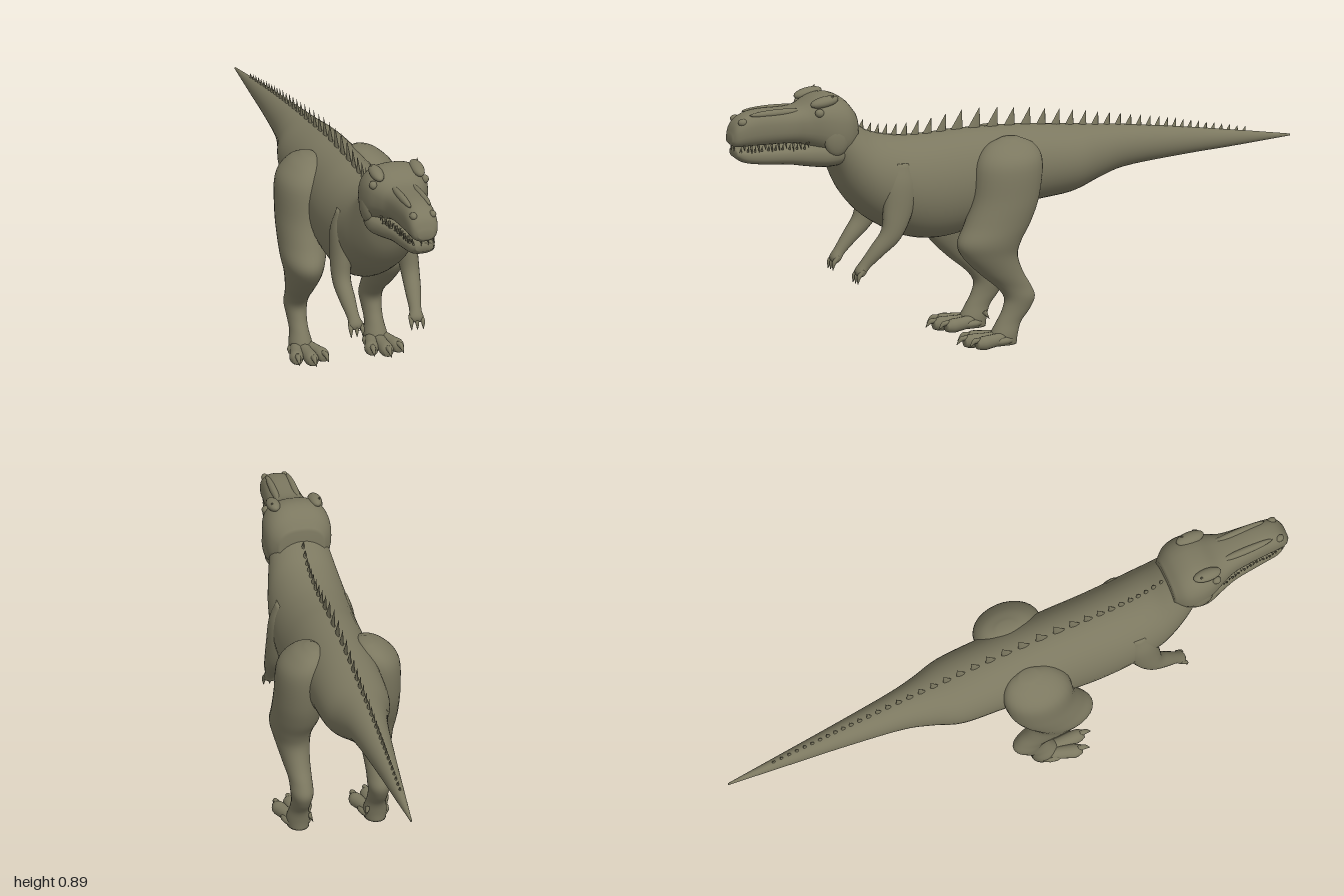
import * as THREE from 'three';

const V = (x, y, z) => new THREE.Vector3(x, y, z);

// Smooth closed skin through sections {c, u, v}; u x v points along the sweep
function loft(sections, { seg = 28, sub = 5, power = 2 } = {}) {
  const curve = (k) => new THREE.CatmullRomCurve3(sections.map((s) => s[k]), false, 'catmullrom', 0.5);
  const C = curve('c'), U = curve('u'), W = curve('v');
  const n = (sections.length - 1) * sub, pos = [], idx = [];
  const round = (a) => Math.sign(a) * Math.abs(a) ** (2 / power);
  for (let i = 0; i <= n; i++) {
    const c = C.getPoint(i / n), u = U.getPoint(i / n), v = W.getPoint(i / n);
    for (let j = 0; j < seg; j++) {
      const a = (j / seg) * Math.PI * 2;
      const p = c.clone().addScaledVector(u, round(Math.cos(a))).addScaledVector(v, round(Math.sin(a)));
      pos.push(p.x, p.y, p.z);
    }
  }
  for (let i = 0; i < n; i++) {
    for (let j = 0; j < seg; j++) {
      const k = (j + 1) % seg, a = i * seg + j, b = i * seg + k;
      idx.push(a, b, a + seg, b, b + seg, a + seg);
    }
  }
  // End caps
  const s0 = sections[0].c, s1 = sections[sections.length - 1].c, base = (n + 1) * seg;
  pos.push(s0.x, s0.y, s0.z, s1.x, s1.y, s1.z);
  for (let j = 0; j < seg; j++) {
    const k = (j + 1) % seg;
    idx.push(base, k, j, base + 1, n * seg + j, n * seg + k);
  }
  const g = new THREE.BufferGeometry();
  g.setAttribute('position', new THREE.Float32BufferAttribute(pos, 3));
  g.setIndex(idx);
  g.computeVertexNormals();
  return g;
}

// Upright sections along z: [z, top, bottom, halfWidth]
const hull = (rows) => rows.map(([z, t, b, w]) => ({ c: V(0, (t + b) / 2, z), u: V(w, 0, 0), v: V(0, (t - b) / 2, 0) }));

// Sections square to a path: [x, y, z, radiusAcross, radiusOther], mirrored by side
function limb(rows, side) {
  const pts = rows.map(([x, y, z]) => V(x * side, y, z));
  return rows.map(([, , , ra, rb], i) => {
    const dir = pts[Math.min(i + 1, pts.length - 1)].clone().sub(pts[Math.max(i - 1, 0)]).normalize();
    const v = dir.clone().cross(V(1, 0, 0)).normalize();
    const u = v.clone().cross(dir);
    return { c: pts[i], u: u.multiplyScalar(ra), v: v.multiplyScalar(rb ?? ra) };
  });
}

export function createModel() {
  const model = new THREE.Group();
  const hide = new THREE.MeshStandardMaterial({ color: 0x7c7860 });
  hide.name = 'olive hide';
  const add = (name, geo, parent = model) => {
    const m = new THREE.Mesh(geo, hide);
    m.name = name;
    parent.add(m);
    return m;
  };
  const blob = (name, p, r, parent, rx = 0) => {
    const m = add(name, new THREE.SphereGeometry(1, 16, 12), parent);
    m.position.set(...p);
    m.scale.set(...r);
    m.rotation.x = rx;
  };
  const cone = (name, from, to, r, parent) => {
    const a = V(...from), d = V(...to).sub(a);
    const m = add(name, new THREE.ConeGeometry(r, d.length(), 8), parent);
    m.position.copy(a).addScaledVector(d, 0.5);
    m.quaternion.setFromUnitVectors(V(0, 1, 0), d.normalize());
  };

  // Tail, trunk and neck in one skin
  const trunk = [
    [-0.995, 0.58, 0.574, 0.003], [-0.8, 0.612, 0.56, 0.021], [-0.6, 0.643, 0.548, 0.04], [-0.4, 0.67, 0.53, 0.063],
    [-0.3, 0.68, 0.5, 0.085], [-0.2, 0.69, 0.465, 0.114], [-0.05, 0.705, 0.445, 0.122], [0.08, 0.71, 0.4, 0.128],
    [0.2, 0.712, 0.365, 0.134], [0.3, 0.708, 0.358, 0.136], [0.4, 0.712, 0.38, 0.136], [0.5, 0.735, 0.435, 0.13],
    [0.56, 0.775, 0.485, 0.118], [0.61, 0.825, 0.55, 0.103], [0.64, 0.845, 0.62, 0.09], [0.66, 0.83, 0.67, 0.07],
  ];
  add('body', loft(hull(trunk), { seg: 40 }));

  // Head
  const head = new THREE.Group();
  head.name = 'head';
  model.add(head);
  add('upperJaw', loft(hull([
    [0.57, 0.82, 0.69, 0.075], [0.605, 0.86, 0.67, 0.104], [0.65, 0.88, 0.66, 0.113], [0.7, 0.875, 0.695, 0.105],
    [0.75, 0.852, 0.718, 0.083], [0.8, 0.845, 0.726, 0.065], [0.9, 0.846, 0.728, 0.055], [0.955, 0.833, 0.728, 0.051],
    [0.985, 0.808, 0.73, 0.043], [1.0, 0.77, 0.742, 0.025],
  ]), { seg: 36, power: 2.5 }), head);
  add('lowerJaw', loft(hull([
    [0.57, 0.73, 0.67, 0.06], [0.62, 0.74, 0.643, 0.092], [0.68, 0.735, 0.638, 0.1], [0.74, 0.728, 0.645, 0.08],
    [0.8, 0.724, 0.655, 0.062], [0.9, 0.724, 0.664, 0.05], [0.955, 0.724, 0.675, 0.044], [0.985, 0.722, 0.695, 0.03],
  ]), { seg: 32, power: 2.4 }), head);

  for (const side of [1, -1]) {
    // Brow, hornlet, eye and nostril rim
    blob('brow', [0.07 * side, 0.866, 0.69], [0.022, 0.018, 0.05], head, 0.15);
    cone('browHorn', [0.074 * side, 0.866, 0.675], [0.081 * side, 0.89, 0.66], 0.013, head);
    blob('eye', [0.089 * side, 0.835, 0.715], [0.013, 0.014, 0.015], head);
    blob('cheek', [0.092 * side, 0.745, 0.655], [0.022, 0.06, 0.045], head);
    blob('snoutRidge', [0.034 * side, 0.836, 0.84], [0.012, 0.012, 0.1], head);
    blob('nostrilRim', [0.033 * side, 0.815, 0.965], [0.012, 0.012, 0.016], head);
    // Teeth along the mouth
    for (let i = 0; i < 10; i++) {
      const z = 0.75 + i * 0.0235, x = side * (0.073 - 0.026 * Math.min(1, i / 5) ** 0.7 - (i > 7 ? (i - 7) * 0.005 : 0));
      const len = 0.018 + 0.007 * (i % 3);
      cone('upperTooth', [x, 0.736, z], [x * 1.02, 0.736 - len, z - 0.003], 0.005, head);
      cone('lowerTooth', [x * 0.95, 0.715, z + 0.011], [x, 0.737, z + 0.009], 0.004, head);
    }
    cone('frontTooth', [0.012 * side, 0.745, 0.985], [0.012 * side, 0.71, 0.987], 0.005, head);

    // Hind leg, from hip to sole: [y, x, z, halfWidth, halfDepth]
    const leg = new THREE.Group();
    leg.name = side > 0 ? 'leftLeg' : 'rightLeg';
    model.add(leg);
    const rows = [
      [0.69, 0.09, 0.04, 0.02, 0.03], [0.665, 0.105, 0.045, 0.055, 0.085], [0.61, 0.12, 0.055, 0.082, 0.115],
      [0.5, 0.128, 0.07, 0.081, 0.115], [0.42, 0.132, 0.1, 0.078, 0.115], [0.36, 0.14, 0.133, 0.069, 0.112],
      [0.31, 0.139, 0.13, 0.058, 0.095], [0.25, 0.135, 0.09, 0.046, 0.075], [0.2, 0.13, 0.045, 0.038, 0.06],
      [0.16, 0.129, 0.022, 0.037, 0.053], [0.12, 0.129, 0.034, 0.032, 0.048], [0.08, 0.129, 0.06, 0.031, 0.043],
      [0.04, 0.129, 0.077, 0.038, 0.047], [0.008, 0.129, 0.08, 0.036, 0.046],
    ];
    add('legSkin', loft(rows.map(([y, x, z, a, b]) => ({ c: V(x * side, y, z), u: V(a, 0, 0), v: V(0, 0, b) }))), leg);
    blob('footPad', [0.129 * side, 0.024, 0.105], [0.052, 0.022, 0.062], leg);
    // Three toes with claws
    for (const t of [-1, 0, 1]) {
      const x = 0.129 + t * 0.044, z = t ? 0.185 : 0.21;
      add('toe', loft(limb([
        [0.129 + t * 0.02, 0.03, 0.09, 0.02], [0.129 + t * 0.035, 0.027, 0.14, 0.022, 0.022],
        [x, 0.026, z - 0.015, 0.023, 0.023], [x + t * 0.002, 0.024, z + 0.008, 0.015],
      ], side), { seg: 16 }), leg);
      add('toeClaw', loft(limb([
        [x, 0.036, z - 0.005, 0.01], [x + t * 0.004, 0.036, z + 0.018, 0.008], [x + t * 0.006, 0.018, z + 0.035, 0.001],
      ], side), { seg: 10 }), leg);
    }
    cone('dewClaw', [0.1 * side, 0.06, 0.05], [0.088 * side, 0.035, 0.035], 0.01, leg);

    // Arm with a three-clawed hand
    const arm = new THREE.Group();
    arm.name = side > 0 ? 'leftArm' : 'rightArm';
    model.add(arm);
    add('armSkin', loft(limb([
      [0.095, 0.64, 0.43, 0.025, 0.03], [0.106, 0.57, 0.435, 0.036, 0.055], [0.114, 0.48, 0.45, 0.034, 0.05],
      [0.118, 0.41, 0.475, 0.03, 0.036], [0.113, 0.36, 0.52, 0.026, 0.026], [0.107, 0.315, 0.56, 0.02, 0.019],
      [0.104, 0.29, 0.578, 0.024, 0.018], [0.103, 0.277, 0.584, 0.015, 0.01],
    ], side), { seg: 20 }), arm);
    for (const f of [-1, 0, 1]) {
      const x = 0.104 + f * 0.017;
      add('finger', loft(limb([
        [x, 0.298, 0.572, 0.008], [x + f * 0.003, 0.278, 0.59, 0.007], [x + f * 0.003, 0.254, 0.594, 0.001],
      ], side), { seg: 10 }), arm);
    }
  }

  // Row of thin spines leaning back, tallest over the hips
  const topAt = (z) => {
    const i = trunk.findIndex((r) => r[0] > z), a = trunk[i - 1], b = trunk[i];
    return a[1] + ((b[1] - a[1]) * (z - a[0])) / (b[0] - a[0]);
  };
  const spines = new THREE.Group();
  spines.name = 'backSpines';
  model.add(spines);
  for (let z = 0.56; z > -0.85;) {
    const h = z > 0.16 ? 0.07 - (z - 0.16) * 0.125 : 0.07 - (0.16 - z) * 0.055;
    const len = Math.max(0.022, h * 0.75), y = topAt(z);
    const g = new THREE.ConeGeometry(1, 1, 8);
    g.translate(0, 0.5, 0);
    // Slide the tip towards the tail
    const p = g.attributes.position;
    for (let i = 0; i < p.count; i++) p.setZ(i, p.getZ(i) - p.getY(i) * 0.9);
    g.scale(0.007, h + 0.01, len / 2);
    g.computeVertexNormals();
    add('spine', g, spines).position.set(0, y - 0.012, z);
    z -= len * 1.25;
  }
  return model;
}
